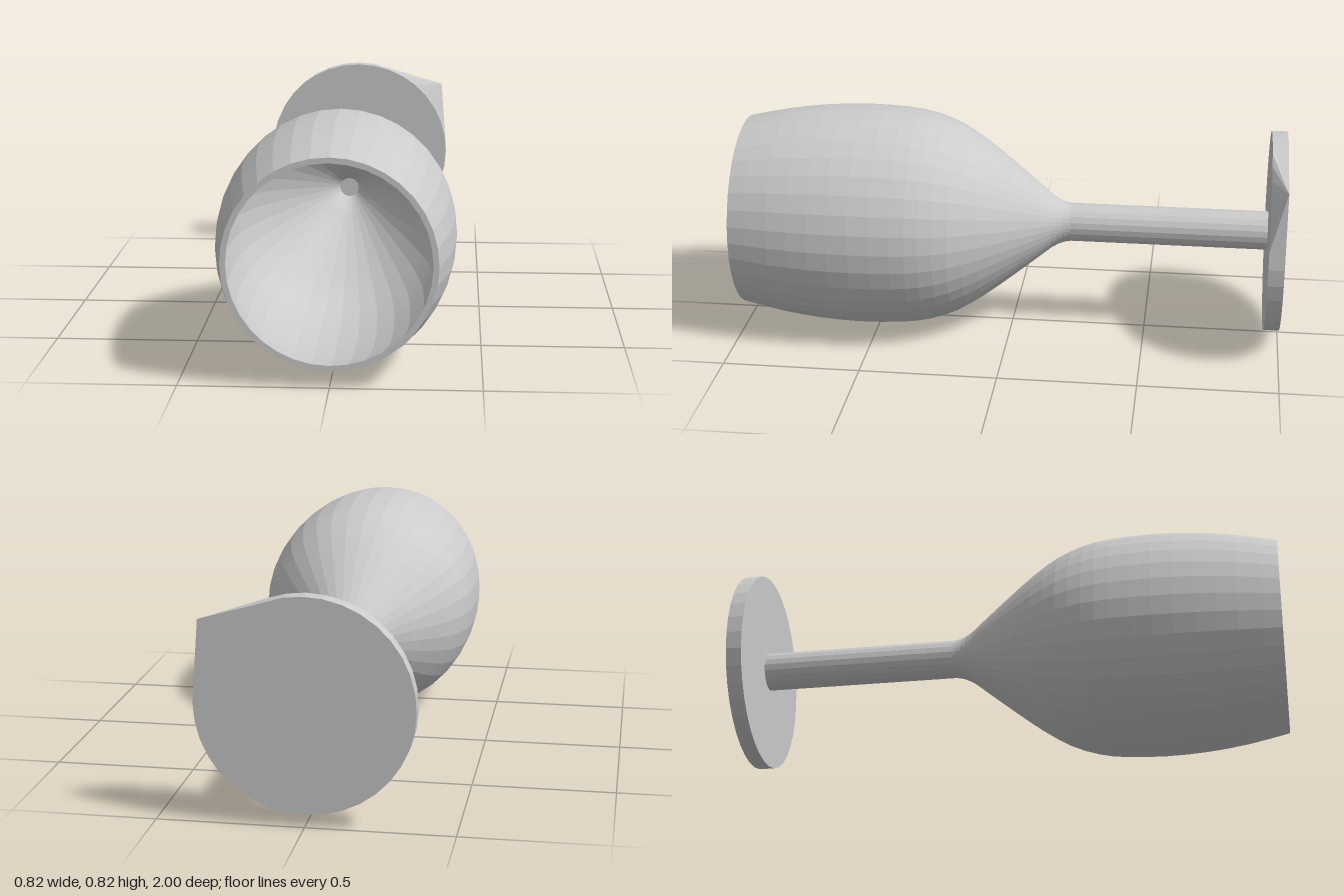
import * as THREE from 'three';

const AXIS_Y = 0.412;
const FOOT_R = 0.367;

function part(name, geometry) {
  const material = new THREE.MeshStandardMaterial({ color: 0xcccccc, flatShading: true });
  const mesh = new THREE.Mesh(geometry, material);
  mesh.name = name;
  return mesh;
}

// Smooth curve through (radius, position along the axis) points
function curve(points, count) {
  return new THREE.SplineCurve(points.map(([r, z]) => new THREE.Vector2(r, z))).getPoints(count);
}

// Hollow bowl: outer wall, flat rim, inner wall down to a small floor
function bowlGeometry() {
  const outer = curve([
    [0.071, -0.22], [0.077, -0.19], [0.098, -0.15], [0.138, -0.1], [0.217, 0], [0.292, 0.1],
    [0.353, 0.2], [0.389, 0.3], [0.405, 0.4], [0.411, 0.55], [0.404, 0.7], [0.385, 0.85], [0.354, 1],
  ], 24);
  const inner = curve([
    [0.335, 1], [0.366, 0.85], [0.385, 0.7], [0.391, 0.55], [0.386, 0.4], [0.370, 0.3],
    [0.333, 0.2], [0.271, 0.1], [0.194, 0], [0.112, -0.1], [0.075, -0.14], [0.035, -0.2],
  ], 22);
  const profile = [...outer, ...inner, new THREE.Vector2(0, -0.2)];
  return new THREE.LatheGeometry(profile, 36).rotateX(Math.PI / 2);
}

// Round foot whose back edge is drawn out to one sharp corner
function footGeometry() {
  const g = new THREE.CylinderGeometry(FOOT_R, FOOT_R, 0.057, 36).rotateX(Math.PI / 2);
  const p = g.attributes.position;
  const tipAngle = THREE.MathUtils.degToRad(39);
  const spread = THREE.MathUtils.degToRad(35);
  for (let i = 0; i < p.count; i++) {
    const x = p.getX(i), y = p.getY(i);
    if (p.getZ(i) > 0 || Math.hypot(x, y) < 0.1) continue;
    if (Math.abs(Math.atan2(y, x) - tipAngle) < spread) {
      p.setXY(i, 0.445 * Math.cos(tipAngle), 0.445 * Math.sin(tipAngle));
    }
  }
  return g.translate(0, 0, -0.9715);
}

export function createModel() {
  const glass = new THREE.Group();
  glass.name = 'wineGlass';

  const stem = new THREE.CylinderGeometry(0.071, 0.071, 0.75, 20)
    .rotateX(Math.PI / 2).translate(0, 0, -0.58);

  glass.add(part('bowl', bowlGeometry()), part('stem', stem), part('foot', footGeometry()));

  // The glass lies on its side along z
  glass.position.y = AXIS_Y;
  const model = new THREE.Group();
  model.add(glass);
  return model;
}
